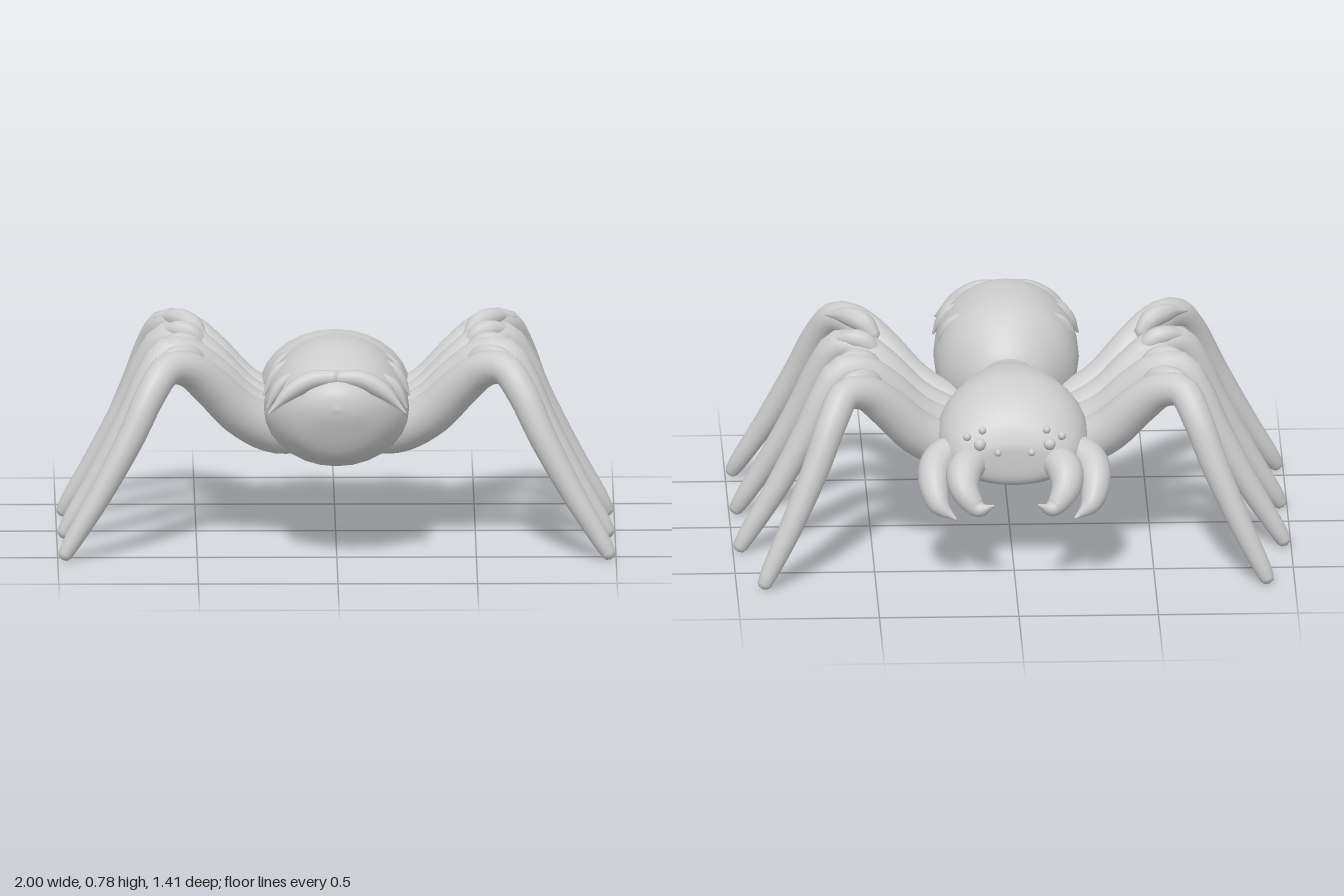
import * as THREE from 'three';

const V = (x, y, z) => new THREE.Vector3(x, y, z);

// Skin a list of rings (equal point counts) into one smooth closed surface
function skin(rings) {
  const n = rings[0].length, pos = [], idx = [];
  rings.forEach((r) => r.forEach((p) => pos.push(p.x, p.y, p.z)));
  for (let i = 0; i < rings.length - 1; i++) {
    for (let j = 0; j < n; j++) {
      const k = (j + 1) % n, a = i * n + j, b = i * n + k, c = a + n, d = b + n;
      idx.push(a, b, c, b, d, c);
    }
  }
  const g = new THREE.BufferGeometry();
  g.setAttribute('position', new THREE.Float32BufferAttribute(pos, 3));
  g.setIndex(idx);
  g.computeVertexNormals();
  return g;
}

// Tapered limb: points are [x, y, z, radius], with rounded ends
function limb(pts, side, steps = 28, n = 14) {
  const curve = new THREE.CatmullRomCurve3(pts.map((p) => V(p[0] * side, p[1], p[2])));
  const radii = new THREE.SplineCurve(pts.map((p, i) => new THREE.Vector2(i, p[3])));
  const f = curve.computeFrenetFrames(steps, false);
  const rings = [];
  const ring = (i, r, push) => {
    const u = curve.getUtoTmapping(i / steps);
    const c = curve.getPoint(u).addScaledVector(f.tangents[i], push);
    const row = [];
    for (let j = 0; j < n; j++) {
      const a = (j / n) * Math.PI * 2;
      row.push(c.clone().addScaledVector(f.normals[i], Math.cos(a) * r).addScaledVector(f.binormals[i], Math.sin(a) * r));
    }
    rings.push(row);
  };
  const rad = (i) => radii.getPoint(curve.getUtoTmapping(i / steps)).y;
  ring(0, 0.0005, -rad(0) * 0.6);
  for (let i = 0; i <= steps; i++) ring(i, rad(i), 0);
  ring(steps, rad(steps) * 0.7, rad(steps) * 0.5);
  ring(steps, 0.0005, rad(steps) * 0.75);
  return skin(rings);
}

// Body segment: sections are [z, half width, bottom y, widest y, top y]
function body(sections, steps = 30, n = 28) {
  const half = new THREE.CatmullRomCurve3(sections.map((s) => V(s[1], s[3], s[0])));
  const ends = new THREE.CatmullRomCurve3(sections.map((s) => V(s[2], s[4], s[0])));
  const rings = [];
  for (let i = 0; i <= steps; i++) {
    const h = half.getPoint(i / steps), e = ends.getPoint(i / steps), row = [];
    for (let j = 0; j < n; j++) {
      const a = (j / n) * Math.PI * 2, s = Math.sin(a);
      const y = s > 0 ? h.y + (e.y - h.y) * s : h.y + (h.y - e.x) * s;
      row.push(V(Math.cos(a) * Math.max(h.x, 0.0005), y, h.z));
    }
    rings.push(row);
  }
  return skin(rings);
}

export function createModel() {
  const model = new THREE.Group();
  const grey = new THREE.MeshStandardMaterial({ color: 0xcccccc });
  grey.name = 'plain grey';
  const add = (name, geo) => {
    const m = new THREE.Mesh(geo, grey);
    m.name = name;
    model.add(m);
    return m;
  };

  // Head and thorax, facing -z
  add('cephalothorax', body([
    [-0.54, 0, 0.44, 0.44, 0.44],
    [-0.532, 0.165, 0.35, 0.43, 0.5],
    [-0.5, 0.222, 0.325, 0.43, 0.565],
    [-0.42, 0.262, 0.305, 0.44, 0.64],
    [-0.3, 0.268, 0.29, 0.46, 0.678],
    [-0.15, 0.222, 0.285, 0.46, 0.662],
    [0, 0.155, 0.3, 0.46, 0.62],
    [0.08, 0.11, 0.34, 0.47, 0.6],
    [0.14, 0, 0.47, 0.47, 0.47],
  ], 36));

  // Abdomen
  add('abdomen', body([
    [0.03, 0, 0.47, 0.47, 0.47],
    [0.05, 0.115, 0.36, 0.48, 0.61],
    [0.13, 0.19, 0.335, 0.5, 0.705],
    [0.21, 0.24, 0.315, 0.51, 0.76],
    [0.3, 0.258, 0.298, 0.52, 0.776],
    [0.44, 0.255, 0.325, 0.52, 0.775],
    [0.55, 0.222, 0.355, 0.53, 0.74],
    [0.63, 0.165, 0.39, 0.55, 0.69],
    [0.685, 0.085, 0.51, 0.57, 0.64],
    [0.7, 0, 0.575, 0.575, 0.575],
  ], 36));

  // Legs share one arched profile [x, y, radius]; z along each leg differs.
  // thorn holds the z of the inner and outer ends of the knee thorn
  const arch = [
    [0.1, 0.375, 0.07], [0.22, 0.4, 0.084], [0.34, 0.468, 0.08], [0.45, 0.582, 0.073],
    [0.53, 0.652, 0.064], [0.605, 0.663, 0.058], [0.665, 0.585, 0.055], [0.74, 0.43, 0.05],
    [0.855, 0.22, 0.042], [0.95, 0.065, 0.033], [0.975, 0.022, 0.026],
  ];
  const legs = [
    { name: 'frontLeg', reach: 0.8, thorn: [-0.345, -0.455], z: [-0.25, -0.29, -0.33, -0.375, -0.42, -0.47, -0.535, -0.59, -0.64, -0.67, -0.68] },
    { name: 'secondLeg', reach: 1, thorn: [-0.16, -0.195], z: [-0.09, -0.12, -0.15, -0.175, -0.195, -0.21, -0.225, -0.24, -0.255, -0.265, -0.27] },
    { name: 'thirdLeg', reach: 1, thorn: [0.025, 0.05], z: [0, 0.006, 0.018, 0.037, 0.055, 0.072, 0.09, 0.11, 0.128, 0.14, 0.145] },
    { name: 'backLeg', reach: 1, thorn: [0.225, 0.325], z: [0.115, 0.155, 0.205, 0.265, 0.322, 0.38, 0.438, 0.487, 0.525, 0.55, 0.56] },
  ];

  for (const side of [1, -1]) {
    const tag = side > 0 ? 'Left' : 'Right';

    for (const leg of legs) {
      const pts = arch.map(([x, y, r], i) => [x > 0.605 ? 0.605 + (x - 0.605) * leg.reach : x, y, leg.z[i], r]);
      add(leg.name + tag, limb(pts, side, 40, 16));
      // Pointed thorn lying over the knee
      const along = (t) => THREE.MathUtils.lerp(...leg.thorn, t);
      add(leg.name + 'KneeThorn' + tag, limb([
        [0.475, 0.635, along(0), 0.026], [0.515, 0.685, along(0.25), 0.037],
        [0.57, 0.699, along(0.6), 0.034], [0.645, 0.692, along(1), 0.006],
      ], side, 14, 10));
    }

    // Outer hooked palps and inner fangs
    add('palp' + tag, limb([
      [0.17, 0.44, -0.4, 0.055], [0.265, 0.415, -0.46, 0.06], [0.29, 0.36, -0.545, 0.056],
      [0.27, 0.29, -0.615, 0.038], [0.215, 0.25, -0.65, 0.006],
    ], side));
    add('fang' + tag, limb([
      [0.12, 0.42, -0.46, 0.055], [0.18, 0.4, -0.55, 0.064], [0.18, 0.345, -0.615, 0.052],
      [0.13, 0.29, -0.66, 0.03], [0.08, 0.315, -0.695, 0.004],
    ], side));

    // Curved spines meeting at the rear
    add('rearSpine' + tag, limb([
      [0, 0.68, 0.63, 0.028], [0.09, 0.672, 0.632, 0.034],
      [0.17, 0.63, 0.645, 0.028], [0.245, 0.56, 0.67, 0.004],
    ], side, 18, 10));
    // Leaf-shaped ridges along the abdomen flanks
    [[0.535, 0, 0], [0.41, 0.01, 0.025], [0.285, 0, 0.03]].forEach(([z, out, rise], i) => {
      add('flankSpine' + (i + 1) + tag, limb([
        [0.15 + out, 0.68 + rise, z - 0.01, 0.008], [0.2 + out, 0.64 + rise, z, 0.02],
        [0.225 + out, 0.6 + rise, z + 0.005, 0.019], [0.25 + out, 0.555 + rise, z + 0.015, 0.004],
      ], side, 12, 8));
    });

    // Cluster of small eyes
    [[0.06, 0.47, -0.565, 0.013], [0.125, 0.5, -0.56, 0.022], [0.115, 0.545, -0.535, 0.014], [0.17, 0.52, -0.53, 0.015]]
      .forEach(([x, y, z, r], i) => {
        add('eye' + (i + 1) + tag, new THREE.SphereGeometry(r, 12, 8)).position.set(x * side, y, z);
      });
  }
  return model;
}
